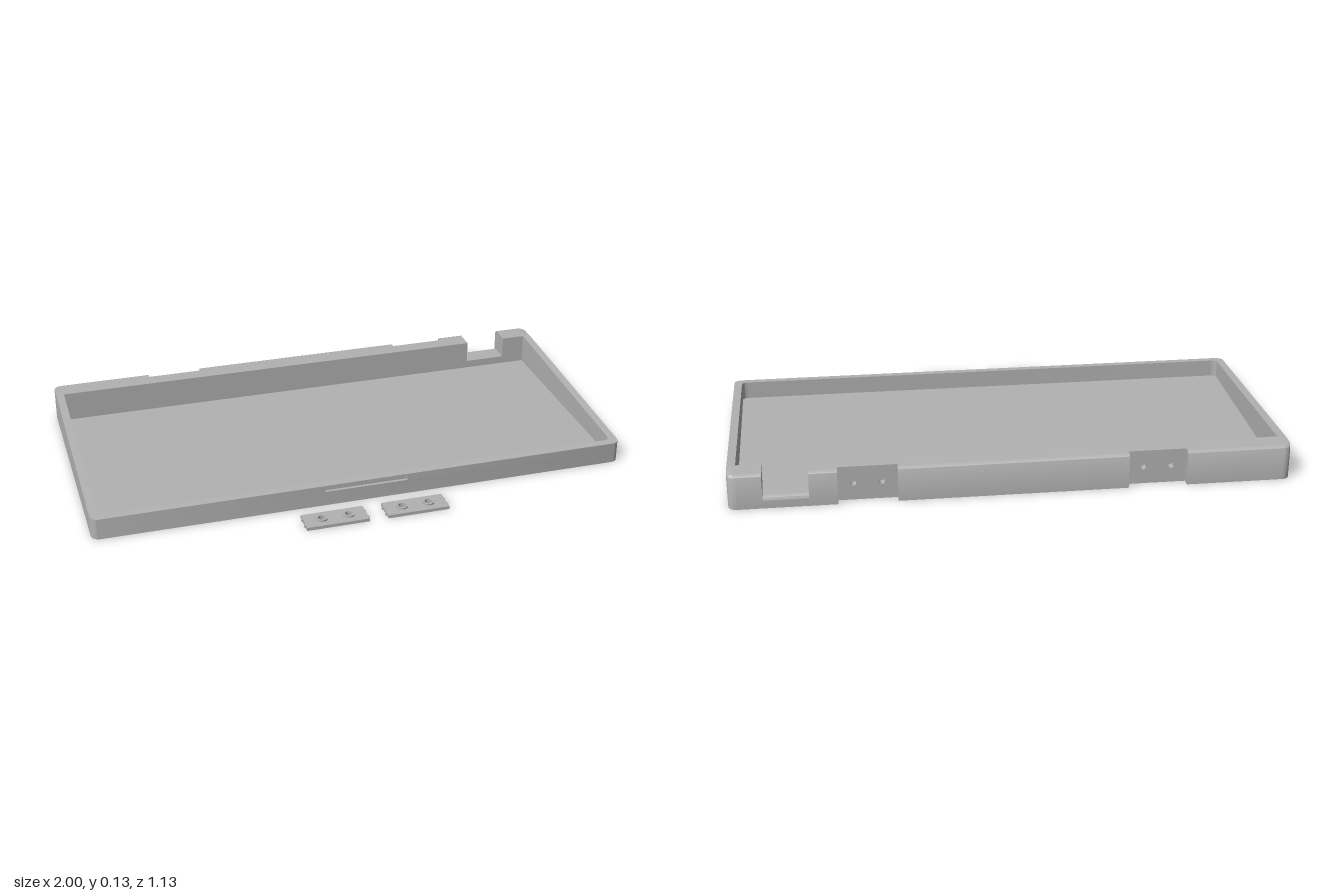
import * as THREE from 'three';
import { toCreasedNormals } from 'three/addons/utils/BufferGeometryUtils.js';

const BACK = -0.565, BAR = -0.475, FRONT = 0.415, TOP = 0.128, LOW = 0.08, CORNER = 0.03;
const grey = new THREE.MeshStandardMaterial({ color: 0xb2b2b2 });
grey.name = 'matte grey';

// Height of the sloping rim at depth z
const rimHeight = z => LOW + (TOP - LOW) * (FRONT - z) / (FRONT - BAR);

function add(parent, name, geometry) {
  const mesh = new THREE.Mesh(toCreasedNormals(geometry, 0.6), grey);
  mesh.name = name;
  parent.add(mesh);
  return mesh;
}

// Plan shape (x, z) raised from y0 to y1
function slab(shape, y0, y1) {
  const g = new THREE.ExtrudeGeometry(shape, { depth: y1 - y0, bevelEnabled: false, curveSegments: 10 });
  return g.rotateX(Math.PI / 2).translate(0, y1, 0);
}

function circleHole(x, y, r) {
  return new THREE.Path().absarc(x, y, r, 0, Math.PI * 2, true);
}

function rect(x0, x1, y0, y1) {
  return new THREE.Shape([[x0, y0], [x1, y0], [x1, y1], [x0, y1]].map(p => new THREE.Vector2(...p)));
}

// U-shaped plan of the front and side walls, with an optional shallow front slot
function rimShape(slot) {
  const s = new THREE.Shape(), xi = 0.97, zi = 0.385, r = 0.02, c = CORNER;
  s.moveTo(-1, BAR).lineTo(-1, FRONT - c);
  s.absarc(-1 + c, FRONT - c, c, Math.PI, Math.PI / 2, true);
  if (slot) {
    s.lineTo(-0.155, FRONT).lineTo(-0.155, FRONT - 0.012);
    s.lineTo(0.155, FRONT - 0.012).lineTo(0.155, FRONT);
  }
  s.lineTo(1 - c, FRONT);
  s.absarc(1 - c, FRONT - c, c, Math.PI / 2, 0, true);
  s.lineTo(1, BAR).lineTo(xi, BAR).lineTo(xi, zi - r);
  s.absarc(xi - r, zi - r, r, 0, Math.PI / 2, false);
  s.lineTo(-xi + r, zi);
  s.absarc(-xi + r, zi - r, r, Math.PI / 2, Math.PI, false);
  s.lineTo(-xi, BAR);
  return s;
}

// Length of back bar with a rounded top rear edge; the ends round off in plan
function barPiece(x0, x1, height, steps = 1) {
  const r = 0.016, u = -BACK, s = new THREE.Shape();
  s.moveTo(-BAR, 0).lineTo(u, 0).lineTo(u, height - r);
  s.absarc(u - r, height - r, r, 0, Math.PI / 2, false);
  s.lineTo(-BAR, height);
  const g = new THREE.ExtrudeGeometry(s, { depth: x1 - x0, steps, bevelEnabled: false, curveSegments: 6 });
  g.rotateY(Math.PI / 2).translate(x0, 0, 0);
  const p = g.attributes.position;
  for (let i = 0; i < p.count; i++) {
    const d = Math.max(0, Math.abs(p.getX(i)) - (1 - CORNER));
    const inset = CORNER - Math.sqrt(Math.max(0, CORNER * CORNER - d * d));
    const k = 1 - inset / (BAR - BACK);
    p.setZ(i, BAR + (p.getZ(i) - BAR) * k);
  }
  g.computeVertexNormals();
  return g;
}

export function createModel() {
  const model = new THREE.Group();
  model.name = 'sloped tray with loose plates';
  const tray = new THREE.Group();
  tray.name = 'tray';
  model.add(tray);

  // Floor
  add(tray, 'floor', slab(rect(-0.975, 0.975, BAR, 0.39), 0, 0.015));

  // Front and side walls, stacked so that the front slot is recessed
  add(tray, 'lowerRim', slab(rimShape(false), 0, 0.055));
  add(tray, 'slottedRim', slab(rimShape(true), 0.055, 0.075));
  const upper = slab(rimShape(false), 0.075, 0.08);
  const p = upper.attributes.position;
  for (let i = 0; i < p.count; i++) if (p.getY(i) > 0.078) p.setY(i, rimHeight(p.getZ(i)));
  upper.computeVertexNormals();
  add(tray, 'slopedRim', upper);

  // Back bar with a cable gap near its left end
  const pieces = [
    [-1, -0.97, TOP, 8], [-0.97, -0.62, TOP], [-0.41, 0.41, TOP], [0.62, 0.72, TOP],
    [0.72, 0.88, 0.045], [0.88, 0.97, TOP], [0.97, 1, TOP, 8],
  ];
  for (const piece of pieces) add(tray, 'backBar', barPiece(...piece));

  // Hinge recesses with two screw holes each
  for (const side of [-1, 1]) {
    const x = side * 0.515, face = rect(x - 0.105, x + 0.105, 0, TOP);
    for (const dx of [-0.05, 0.05]) face.holes.push(circleHole(x + dx, 0.065, 0.011));
    const panel = new THREE.ExtrudeGeometry(face, { depth: 0.03, bevelEnabled: false });
    add(tray, 'hingeRecess', panel.translate(0, 0, -0.535));
    add(tray, 'hingeBacking', new THREE.BoxGeometry(0.21, TOP, 0.03).translate(x, TOP / 2, -0.49));
  }

  // Loose plates with raised screw collars and small end nubs
  for (const side of [-1, 1]) {
    const plate = new THREE.Group();
    plate.name = 'loosePlate';
    model.add(plate);
    const x = side * 0.15, base = rect(x - 0.115, x + 0.115, 0.475, 0.565);
    for (const dx of [-0.05, 0.05]) {
      base.holes.push(circleHole(x + dx, 0.52, 0.014));
      const collar = new THREE.Shape().absarc(x + dx, 0.52, 0.021, 0, Math.PI * 2, false);
      collar.holes.push(circleHole(x + dx, 0.52, 0.014));
      add(plate, 'screwCollar', slab(collar, 0.01, 0.018));
    }
    add(plate, 'plate', slab(base, 0, 0.012));
    for (const sx of [-1, 1]) for (const dz of [-0.02, 0.02]) {
      add(plate, 'endNub', new THREE.BoxGeometry(0.008, 0.008, 0.01).translate(x + sx * 0.115, 0.005, 0.52 + dz));
    }
  }
  return model;
}
